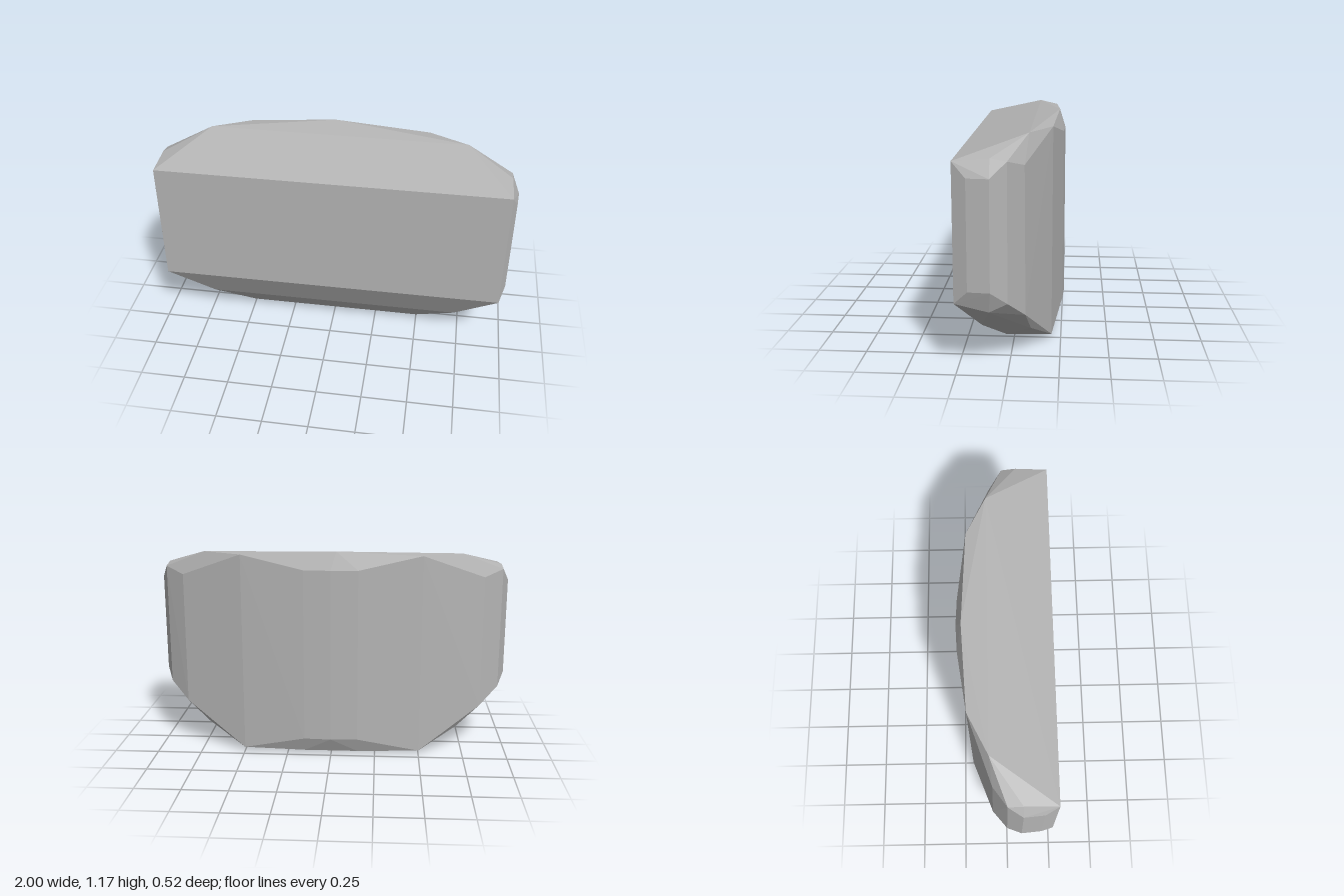
import * as THREE from 'three';
import { ConvexGeometry } from 'three/addons/geometries/ConvexGeometry.js';

export function createModel() {
  const group = new THREE.Group();
  group.name = 'facetedBlock';
  const stone = new THREE.MeshStandardMaterial({ color: 0xb4b4b4 });
  stone.name = 'stone grey';

  // Corners of the left half; each is mirrored across x = 0
  const half = [
    // flat front face
    [0.96, 0.35, 0.26], [0.96, 1.045, 0.26],
    // narrow end with chamfered rim
    [0.99, 0.42, 0.19], [0.99, 0.97, 0.19], [1, 0.42, 0.08], [1, 0.97, 0.08],
    [0.96, 0.31, 0.09], [0.96, 1.06, 0.08], [0.96, 0.355, 0], [0.96, 1.045, 0],
    // sloping underside
    [0.72, 0.15, 0.15], [0.5, 0.012, 0.04], [0.4, 0, -0.13],
    [0.72, 0.14, -0.1], [0.5, 0.02, -0.2], [0.15, 0.018, -0.22],
    // bowed back
    [0.85, 0.26, -0.08], [0.85, 1.01, -0.075], [0.15, 0.1, -0.252], [0.15, 1.07, -0.25],
    // crowned top
    [0.72, 1.145, -0.09], [0.5, 1.145, -0.2],
  ];
  const points = half.flatMap(([x, y, z]) => [
    new THREE.Vector3(x, y, z), new THREE.Vector3(-x, y, z),
  ]);
  // Middle of the crown and of the back
  points.push(new THREE.Vector3(-0.03, 1.17, -0.225));
  points.push(new THREE.Vector3(0, 0.1, -0.26), new THREE.Vector3(0, 1.07, -0.257));

  const body = new THREE.Mesh(new ConvexGeometry(points), stone);
  body.name = 'body';
  group.add(body);
  return group;
}
